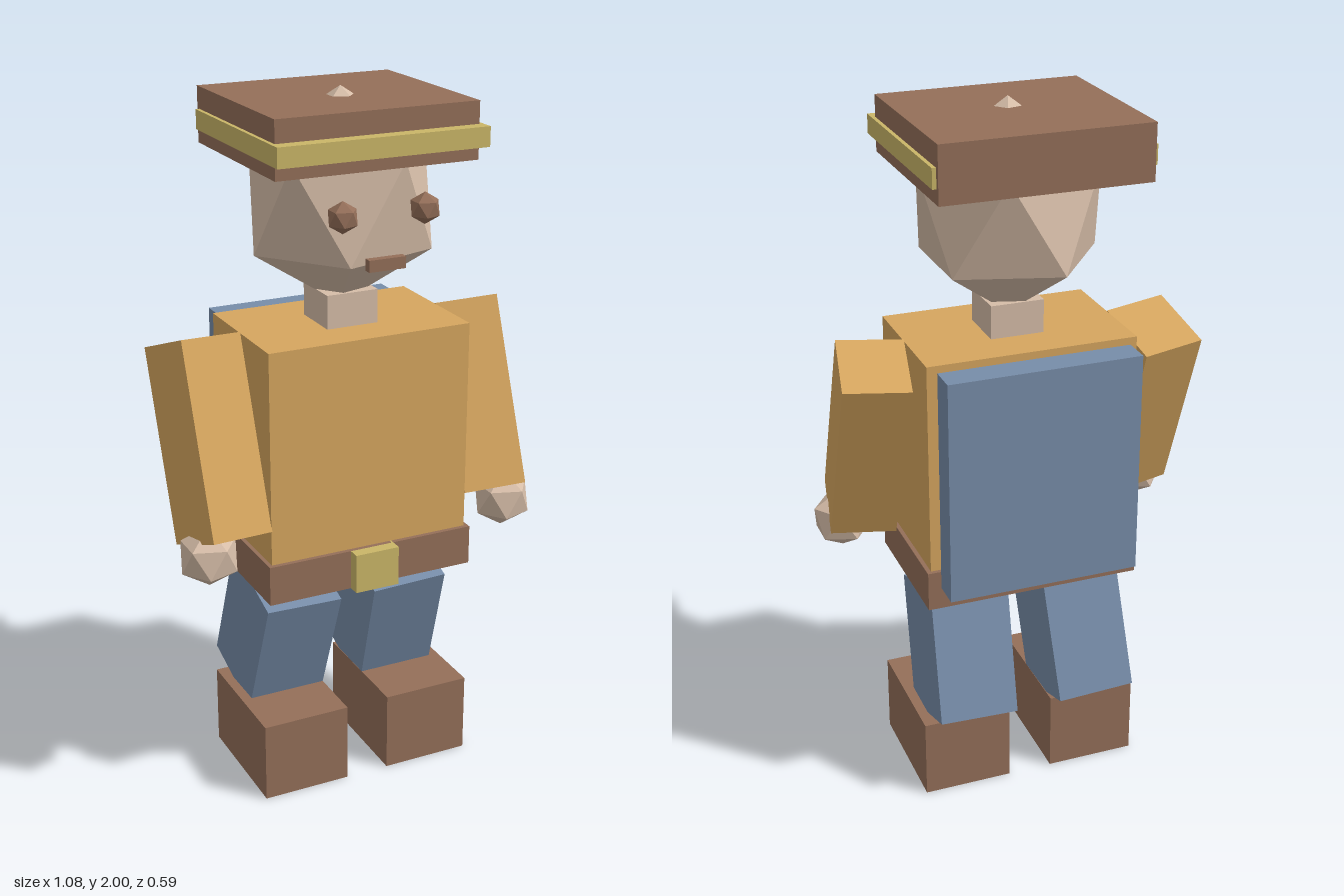
import * as THREE from 'three';

const mat = (name, color) => {
  const m = new THREE.MeshStandardMaterial({ color });
  m.name = name;
  return m;
};

export function createModel() {
  const model = new THREE.Group();
  model.name = 'figure';

  const shirt = mat('shirt ochre', 0xd6a65f);
  const leather = mat('leather brown', 0x946f59);
  const denim = mat('denim blue', 0x778da9);
  const brass = mat('brass yellow', 0xcab668);
  const skin = mat('skin', 0xd6bda8);

  const add = (name, geometry, material, x, y, z) => {
    const mesh = new THREE.Mesh(geometry, material);
    mesh.name = name;
    mesh.position.set(x, y, z);
    model.add(mesh);
    return mesh;
  };

  // Box given by its extents on each axis
  const block = (name, material, [x0, x1], [y0, y1], [z0, z1]) =>
    add(name, new THREE.BoxGeometry(x1 - x0, y1 - y0, z1 - z0), material,
      (x0 + x1) / 2, (y0 + y1) / 2, (z0 + z1) / 2);

  // Icosahedron standing on one vertex
  const gem = (name, material, rx, ry, rz, x, y, z) => {
    const g = new THREE.IcosahedronGeometry(1, 0);
    g.rotateZ(-Math.atan(2 / (1 + Math.sqrt(5))));
    g.scale(rx, ry, rz);
    g.computeVertexNormals();
    return add(name, g, material, x, y, z);
  };

  // Body
  block('torso', shirt, [-0.3, 0.3], [0.7, 1.36], [-0.198, 0.19]);
  block('belt', leather, [-0.312, 0.312], [0.635, 0.75], [-0.21, 0.203]);
  block('buckle', brass, [-0.066, 0.066], [0.635, 0.75], [0.19, 0.237]);
  block('backpack', denim, [-0.275, 0.275], [0.7, 1.345], [-0.294, -0.212]);
  block('neck', skin, [-0.076, 0.076], [1.33, 1.455], [-0.078, 0.074]);

  // Head: its top vertex pokes through the hat
  gem('head', skin, 0.285, 0.298, 0.266, 0, 1.702, -0.003);
  block('mouth', leather, [-0.053, 0.053], [1.57, 1.602], [0.256, 0.279]);

  // Hat
  block('hat', leather, [-0.29, 0.29], [1.82, 1.975], [-0.294, 0.227]);
  block('hatBand', brass, [-0.301, 0.301], [1.86, 1.914], [-0.28, 0.266]);

  // Mirrored parts: s = 1 is the model's left
  for (const s of [-1, 1]) {
    const side = s > 0 ? 'left' : 'right';

    gem(side + 'Eye', leather, 0.043, 0.043, 0.043, s * 0.118, 1.717, 0.256);

    const arm = add(side + 'Arm', new THREE.BoxGeometry(0.185, 0.547, 0.206), shirt,
      s * 0.408, 1.078, 0.017);
    arm.rotation.set(-0.365, -s * 0.18, 0);
    gem(side + 'Hand', skin, 0.088, 0.088, 0.088, s * 0.46, 0.787, 0.13);

    const leg = add(side + 'Leg', new THREE.BoxGeometry(0.23, 0.388, 0.268), denim,
      s * 0.175, 0.418, -0.071);
    leg.rotation.set(0.315, 0, s * 0.035);

    block(side + 'Boot', leather, [s * 0.195 - 0.13, s * 0.195 + 0.13], [0, 0.236], [-0.19, 0.18]);
  }

  return model;
}
